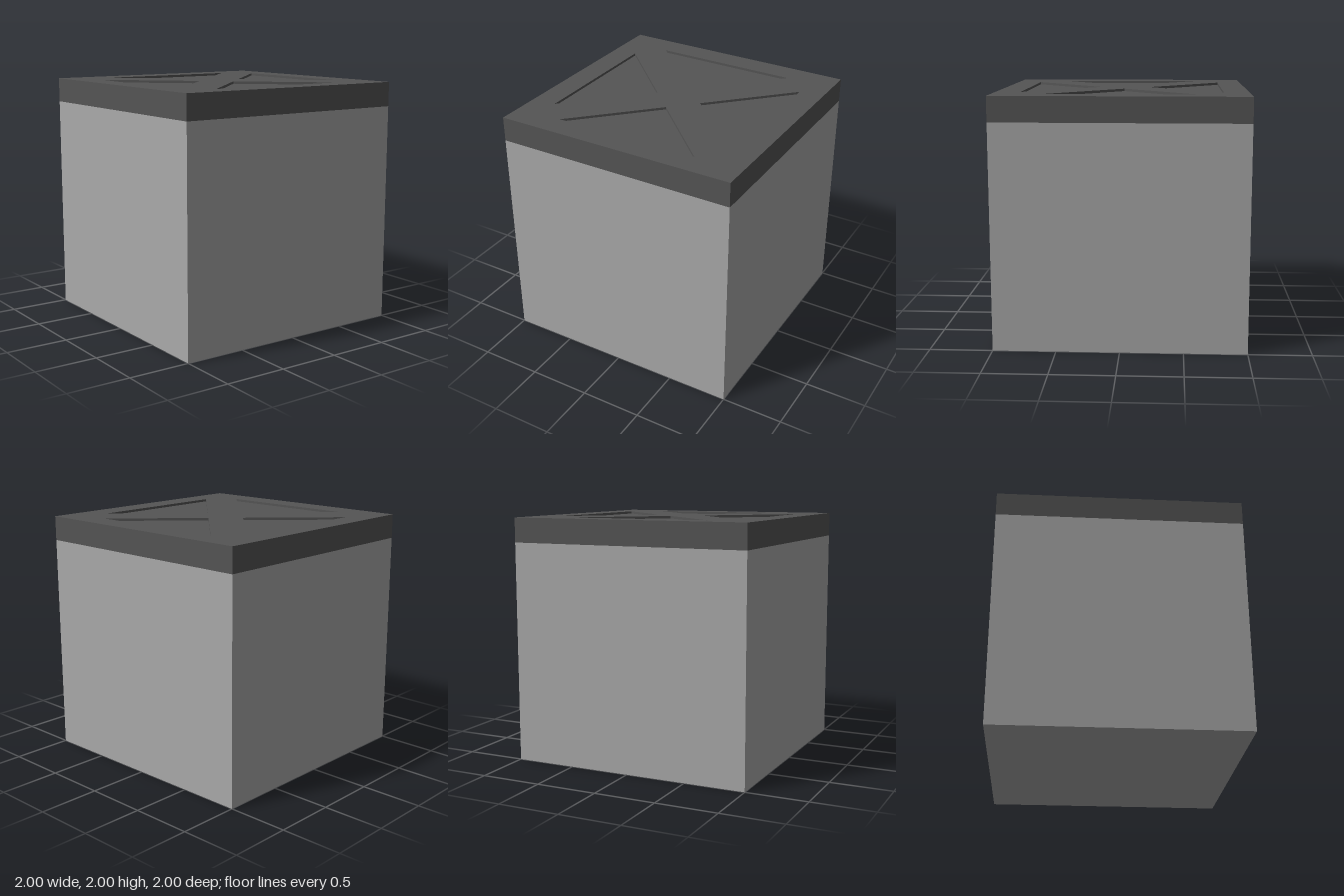
import * as THREE from 'three';

const HALF = 1, LID_BOTTOM = 1.8, TOP = 2, RECESS = 0.02;

export function createModel() {
  const model = new THREE.Group();
  model.name = 'crate';
  const lightGrey = new THREE.MeshStandardMaterial({ name: 'lightGrey', color: 0xaaaaaa });
  const darkGrey = new THREE.MeshStandardMaterial({ name: 'darkGrey', color: 0x555555 });

  function add(name, geometry, material, y, parent = model) {
    const mesh = new THREE.Mesh(geometry, material);
    mesh.name = name;
    mesh.position.y = y;
    parent.add(mesh);
  }

  // Plain box body
  add('body', new THREE.BoxGeometry(2 * HALF, LID_BOTTOM, 2 * HALF), lightGrey, LID_BOTTOM / 2);

  // Lid: a slab that forms the recess floors, with a cross-shaped frame on top
  const lid = new THREE.Group();
  lid.name = 'lid';
  model.add(lid);
  const slabHeight = TOP - LID_BOTTOM - RECESS;
  add('lidSlab', new THREE.BoxGeometry(2 * HALF, slabHeight, 2 * HALF), darkGrey,
    LID_BOTTOM + slabHeight / 2, lid);

  const frame = new THREE.Shape([[-1, -1], [1, -1], [1, 1], [-1, 1]]
    .map(([x, y]) => new THREE.Vector2(x * HALF, y * HALF)));

  // Four triangular recesses, one turned towards each side
  for (let i = 0; i < 4; i++) {
    const corners = [[0.2, 0], [0.8, -0.6], [0.8, 0.6]].map(([x, y]) =>
      new THREE.Vector2(x, y).rotateAround(new THREE.Vector2(), i * Math.PI / 2));
    frame.holes.push(new THREE.Path(corners.reverse()));
  }
  const frameGeometry = new THREE.ExtrudeGeometry(frame, { depth: RECESS, bevelEnabled: false });
  frameGeometry.rotateX(-Math.PI / 2);
  add('lidCrossFrame', frameGeometry, darkGrey, TOP - RECESS, lid);

  return model;
}
